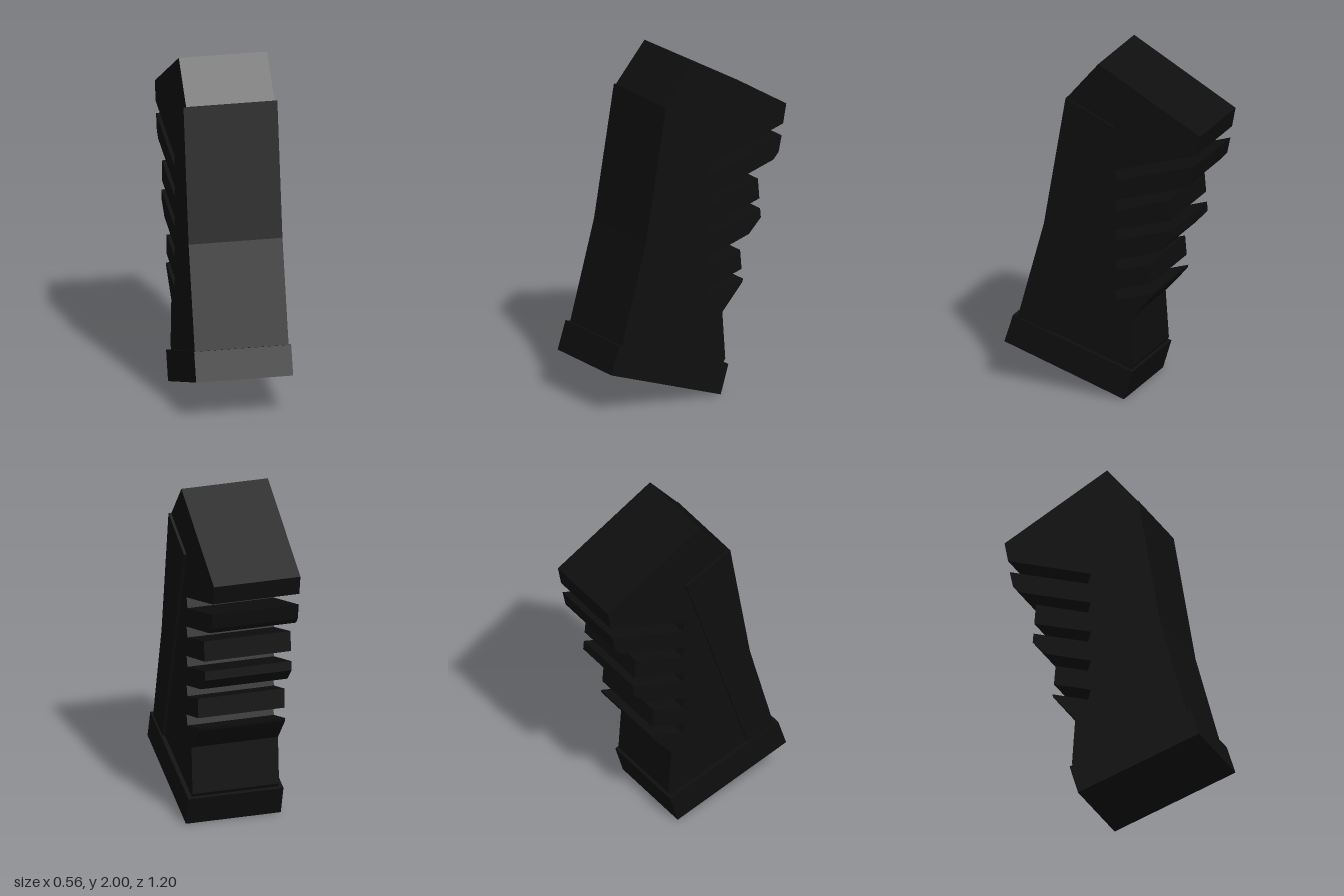
import * as THREE from 'three';

// Side profile given as [z, y] points, extruded symmetrically across x
function slab(name, points, halfWidth, material) {
  const shape = new THREE.Shape(points.map(([z, y]) => new THREE.Vector2(-z, y)));
  const geo = new THREE.ExtrudeGeometry(shape, { depth: halfWidth * 2, bevelEnabled: false });
  geo.translate(0, 0, -halfWidth);
  geo.rotateY(Math.PI / 2);
  const mesh = new THREE.Mesh(geo, material);
  mesh.name = name;
  return mesh;
}

export function createModel() {
  const group = new THREE.Group();
  group.name = 'grip';
  const black = new THREE.MeshStandardMaterial({ color: 0x0e0e0e });
  black.name = 'matte black';

  // Rear outline of each finger ridge, from its slot above to its slot below
  const ridges = [
    [[-0.565, 1.465], [-0.545, 1.37], [-0.51, 1.33]],
    [[-0.405, 1.235], [-0.415, 1.115]],
    [[-0.42, 1.055], [-0.425, 1.0], [-0.345, 0.915]],
    [[-0.285, 0.83], [-0.295, 0.715]],
    [[-0.305, 0.655], [-0.3, 0.635], [-0.165, 0.48]],
  ];

  // Main body, with slanted slots cut through the back
  const body = [[0.21, 1.77], [0.03, 2.0], [-0.597, 1.65], [-0.575, 1.535]];
  ridges.forEach((ridge, i) => {
    const y = 1.37 - i * 0.1815;
    body.push([-0.07, y], [-0.087, y - 0.06], ...ridge);
  });
  body.push([-0.185, 0.2], [-0.155, 0.15], [0.5, 0.36], [0.35, 0.99]);
  body[0] = [0.223, 1.77];
  group.add(slab('body', body, 0.257, black));

  // Slightly wider shell wrapping the front
  group.add(slab('frontShell', [
    [0.226, 1.77], [-0.07, 1.635], [0.35, 0.33], [0.53, 0.37], [0.36, 0.99],
  ], 0.273, black));

  // Tilted base cap
  group.add(slab('baseCap', [
    [0.547, 0.41], [0.6, 0.243], [-0.138, 0.0], [-0.19, 0.172],
  ], 0.282, black));

  return group;
}
